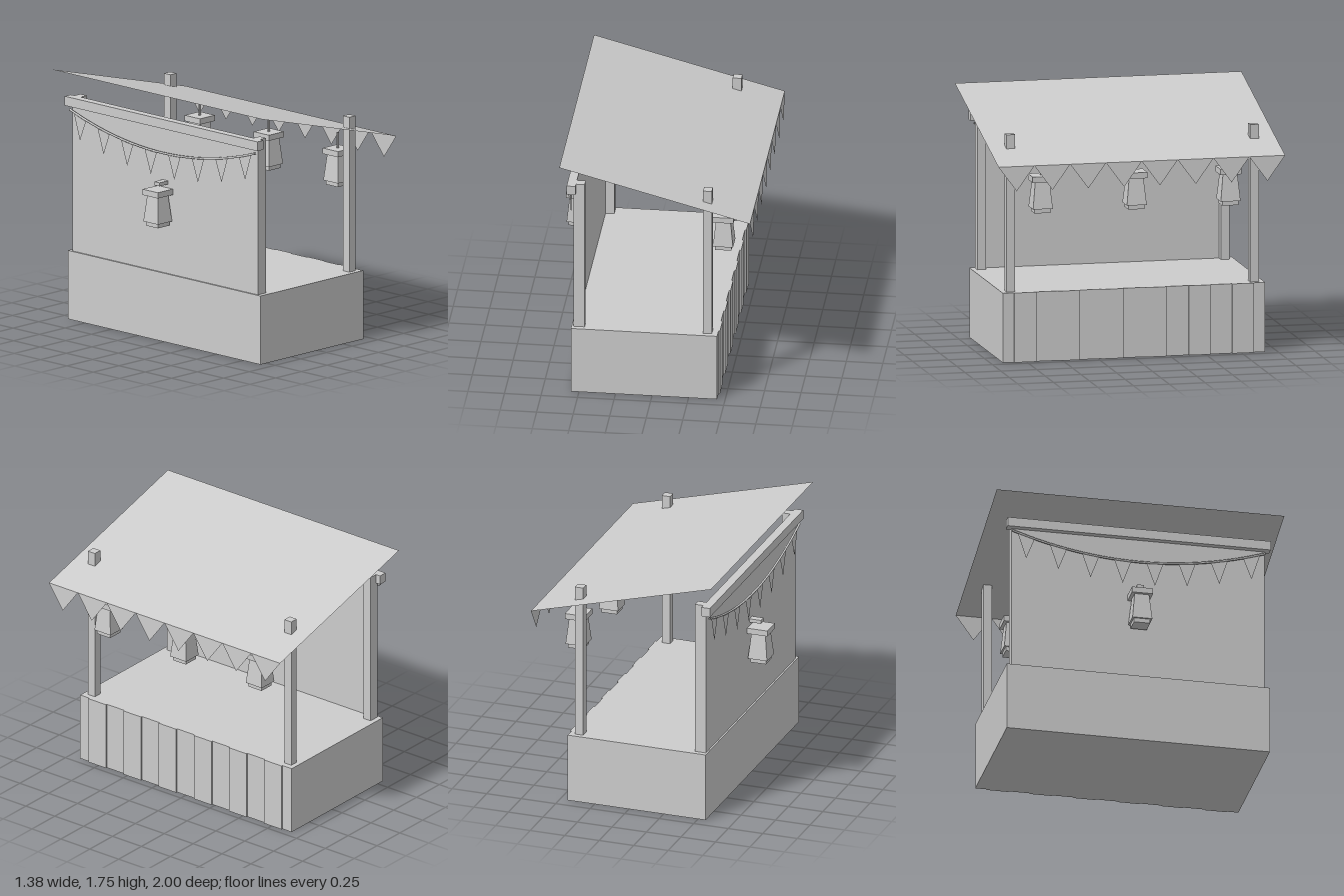
import * as THREE from 'three';

export function createModel() {
  const stall = new THREE.Group();
  stall.name = 'marketStall';
  const grey = new THREE.MeshStandardMaterial({ color: 0xcccccc, side: THREE.DoubleSide });
  grey.name = 'plainGrey';

  const add = (name, geometry, parent = stall) => {
    const mesh = new THREE.Mesh(geometry, grey);
    mesh.name = name;
    parent.add(mesh);
    return mesh;
  };
  // Box given by its lower and upper limits on each axis
  const box = (name, [x0, x1], [y0, y1], [z0, z1], parent) => {
    const mesh = add(name, new THREE.BoxGeometry(x1 - x0, y1 - y0, z1 - z0), parent);
    mesh.position.set((x0 + x1) / 2, (y0 + y1) / 2, (z0 + z1) / 2);
    return mesh;
  };
  // Flat polygon from corner points, as a triangle fan
  const sheet = (name, points) => {
    const fan = [];
    for (let i = 1; i < points.length - 1; i++) {
      fan.push(...points[0], ...points[i], ...points[i + 1]);
    }
    const geometry = new THREE.BufferGeometry();
    geometry.setAttribute('position', new THREE.Float32BufferAttribute(fan, 3));
    geometry.computeVertexNormals();
    return add(name, geometry);
  };

  // Counter with raised boards along its serving side
  box('counter', [-0.555, 0.445], [0, 0.48], [-0.915, 0.915]);
  for (let i = 0; i < 6; i++) {
    const z = (i - 2.5) * 0.304;
    box('counterBoard', [0.445, 0.455], [0, 0.48], [z - 0.076, z + 0.076]);
  }

  // Four posts, back wall and the beam above it
  for (const s of [-1, 1]) {
    const z = [s * 0.85 - 0.03, s * 0.85 + 0.03];
    box('frontPost', [0.345, 0.405], [0.48, 1.565], z);
    box('backPost', [-0.525, -0.465], [0.48, 1.565], z);
  }
  box('backWall', [-0.543, -0.525], [0.48, 1.5], [-0.88, 0.88]);
  box('backBeam', [-0.585, -0.525], [1.5, 1.565], [-0.915, 0.915]);

  // Sloping canopy with pennants along its low edge
  sheet('canopy', [[-0.625, 1.745, -1], [-0.625, 1.745, 1], [0.68, 1.395, 1], [0.68, 1.395, -1]]);
  for (let i = 0; i < 8; i++) {
    const z = 0.875 - i * 0.25;
    sheet('canopyPennant', [[0.68, 1.395, z + 0.125], [0.687, 1.225, z], [0.68, 1.395, z - 0.125]]);
  }

  // Sagging garland across the back
  const ropeY = (z) => 1.325 + 0.15 * (z / 0.88) ** 2;
  const ropePoints = [];
  for (let i = 0; i <= 12; i++) {
    const z = -0.88 + (i * 1.76) / 12;
    ropePoints.push(new THREE.Vector3(-0.57, ropeY(z), z));
  }
  add('garlandRope', new THREE.TubeGeometry(new THREE.CatmullRomCurve3(ropePoints), 24, 0.008, 6));
  for (let i = 0; i < 8; i++) {
    const z = (i - 3.5) * 0.224;
    const a = z - 0.06, b = z + 0.06;
    sheet('garlandPennant', [[-0.57, ropeY(a), a], [-0.57, ropeY(z) - 0.17, z], [-0.57, ropeY(b), b]]);
  }

  // Lantern: tapered square body, cap and foot, origin at the underside
  const lantern = (name, x, y, z) => {
    const group = new THREE.Group();
    group.name = name;
    group.position.set(x, y, z);
    stall.add(group);
    box('lanternFoot', [-0.056, 0.056], [0, 0.03], [-0.056, 0.056], group);
    const body = new THREE.CylinderGeometry(0.05 * Math.SQRT2, 0.069 * Math.SQRT2, 0.185, 4)
      .toNonIndexed();
    body.rotateY(Math.PI / 4);
    body.computeVertexNormals();
    add('lanternBody', body, group).position.y = 0.1225;
    box('lanternCap', [-0.073, 0.073], [0.215, 0.255], [-0.073, 0.073], group);
    return group;
  };
  for (const z of [-0.655, 0, 0.655]) {
    const hanging = lantern('frontLantern', 0.462, 1.035, z);
    box('lanternRod', [-0.008, 0.008], [0.25, 0.365], [-0.004, 0.004], hanging);
  }
  lantern('backLantern', -0.617, 0.825, 0);
  box('lanternBracket', [-0.625, -0.54], [1.105, 1.13], [-0.025, 0.025]);

  return stall;
}
